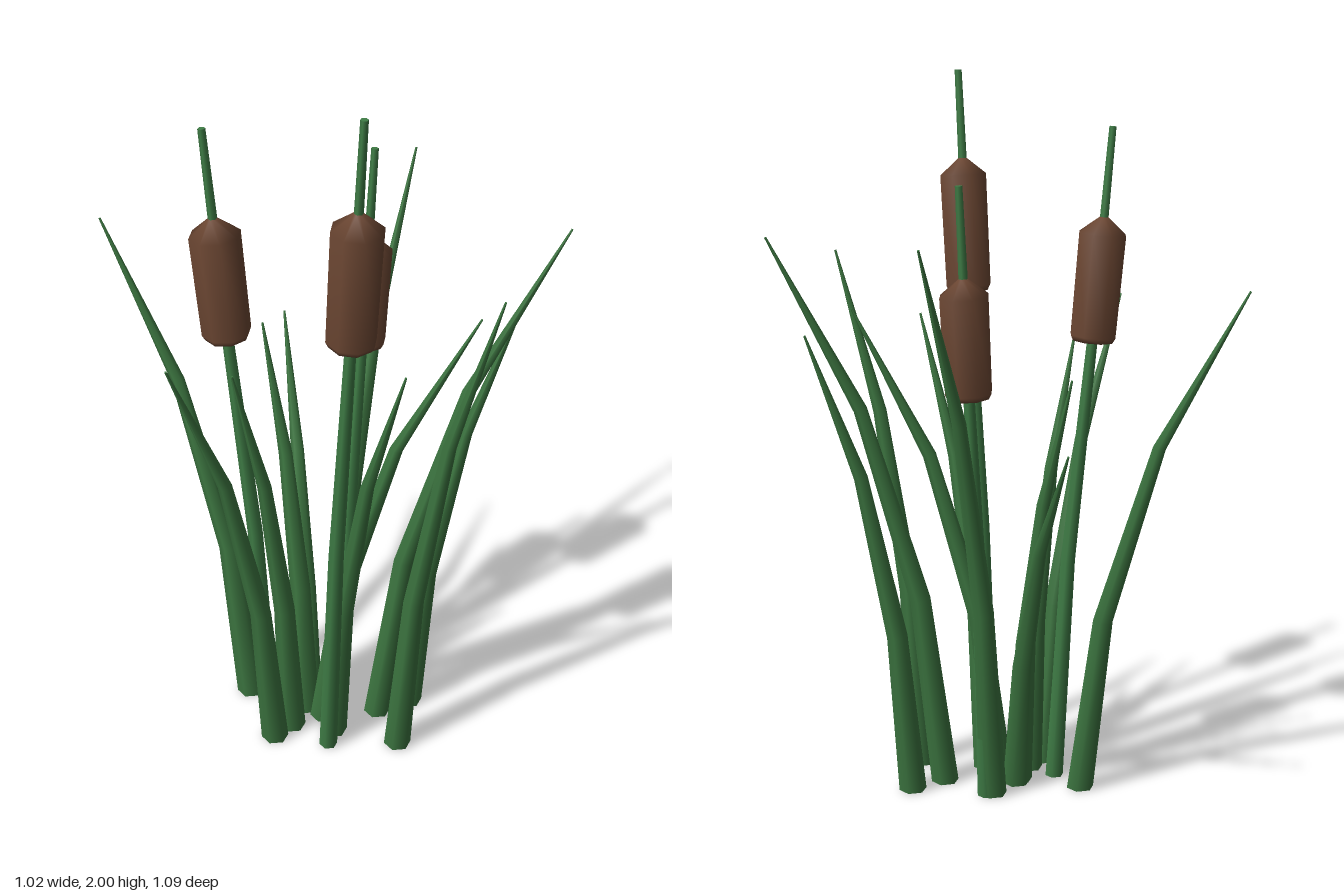
import * as THREE from 'three';

const leafGreen = new THREE.MeshStandardMaterial({ color: 0x3c7540 });
const stemGreen = new THREE.MeshStandardMaterial({ color: 0x3f7d46 });
const seedBrown = new THREE.MeshStandardMaterial({ color: 0x6b4632 });
leafGreen.name = 'leaf green';
stemGreen.name = 'stem green';
seedBrown.name = 'seed head brown';

const UP = new THREE.Vector3(0, 1, 0);

// Closed tapering tube: one ring per path point, each square to the path
function taperedTube(points, radii, sides) {
  const rows = points.length - 1;
  const geo = new THREE.CylinderGeometry(1, 1, 1, sides, rows);
  const turns = points.map((p, i) => {
    const q = new THREE.Quaternion();
    if (i === 0) return q; // the foot is cut level with the ground
    const dir = points[Math.min(i + 1, rows)].clone().sub(points[i - 1]).normalize();
    return q.setFromUnitVectors(UP, dir);
  });
  const pos = geo.attributes.position;
  const v = new THREE.Vector3();
  for (let k = 0; k < pos.count; k++) {
    const i = Math.round((pos.getY(k) + 0.5) * rows);
    v.set(pos.getX(k), 0, pos.getZ(k)).multiplyScalar(radii[i]);
    v.applyQuaternion(turns[i]).add(points[i]);
    pos.setXYZ(k, v.x, v.y, v.z);
  }
  geo.computeVertexNormals();
  // Smooth the seam where the wall closes on itself
  const nor = geo.attributes.normal;
  const a = new THREE.Vector3(), b = new THREE.Vector3();
  for (let r = 0; r <= rows; r++) {
    const s = r * (sides + 1), e = s + sides;
    a.fromBufferAttribute(nor, s).add(b.fromBufferAttribute(nor, e)).normalize();
    nor.setXYZ(s, a.x, a.y, a.z);
    nor.setXYZ(e, a.x, a.y, a.z);
  }
  return geo;
}

// Path from foot to tip; each bend is [share of height, share of lean]
function leaningPath([bx, bz], [tx, ty, tz], bends) {
  return bends.map(([h, l]) =>
    new THREE.Vector3(bx + (tx - bx) * l, ty * h, bz + (tz - bz) * l));
}

// Leaf blades: foot [x, z], tip [x, y, z]
const BLADES = [
  [[-0.13, -0.11], [-0.30, 1.46, -0.54]],
  [[-0.02, 0.04], [0.20, 1.08, -0.38]],
  [[-0.04, 0.05], [-0.025, 1.21, -0.17]],
  [[0.08, 0.03], [0.485, 1.60, -0.15]],
  [[0.225, 0.21], [0.48, 1.33, 0.32]],
  [[0.12, 0.19], [0.505, 1.58, 0.445]],
  [[-0.02, 0.11], [0.27, 1.37, 0.385]],
  [[0.08, 0.335], [0.20, 1.51, 0.54]],
  [[-0.035, 0.18], [-0.015, 1.32, 0.43]],
  [[-0.19, 0.10], [-0.51, 1.36, 0.11]],
  [[-0.12, 0.09], [-0.31, 1.27, 0.10]],
];
const BLADE_BENDS = [[0, 0], [0.35, 0.14], [0.7, 0.48], [1, 1]];
const BLADE_RADII = [0.039, 0.029, 0.019, 0.003];

// Flowering stalks: foot, tip, then bottom and top height of the seed head
const STALKS = [
  [[-0.135, 0.0], [-0.25, 1.86, -0.095], 1.28, 1.62],
  [[0.1, 0.035], [0.21, 1.725, 0.01], 1.165, 1.485],
  [[-0.085, 0.22], [-0.105, 2.0, 0.36], 1.39, 1.76],
];
const STALK_BENDS = [[0, 0], [0.35, 0.24], [0.7, 0.68], [1, 1]];
const STALK_RADII = [0.026, 0.021, 0.015, 0.010];

// Eight-sided seed head with a chamfered foot and a shallow conical cap
function seedHeadGeometry(height) {
  const profile = [
    [0, 0], [0.058, 0], [0.066, 0.015], [0.068, height - 0.045], [0.012, height], [0, height],
  ].map(([r, y]) => new THREE.Vector2(r, y));
  return new THREE.LatheGeometry(profile, 8, Math.PI / 8);
}

export function createModel() {
  const model = new THREE.Group();
  model.name = 'reeds';

  const add = (parent, geo, mat, name) => {
    const mesh = new THREE.Mesh(geo, mat);
    mesh.name = name;
    parent.add(mesh);
    return mesh;
  };

  // Leaves
  const leaves = new THREE.Group();
  leaves.name = 'leaves';
  model.add(leaves);
  BLADES.forEach(([foot, tip], i) => {
    const path = leaningPath(foot, tip, BLADE_BENDS);
    add(leaves, taperedTube(path, BLADE_RADII, 6), leafGreen, `leafBlade${i + 1}`);
  });

  // Stalks, each with a seed head threaded on its upper part
  STALKS.forEach(([foot, tip, low, high], i) => {
    const stalk = new THREE.Group();
    stalk.name = `stalk${i + 1}`;
    model.add(stalk);
    const path = leaningPath(foot, tip, STALK_BENDS);
    add(stalk, taperedTube(path, STALK_RADII, 6), stemGreen, 'stem');

    const [, , knee, end] = path;
    const at = (y) => knee.clone().lerp(end, (y - knee.y) / (end.y - knee.y));
    const bottom = at(low), top = at(high);
    const head = add(stalk, seedHeadGeometry(high - low), seedBrown, 'seedHead');
    head.position.copy(bottom);
    head.quaternion.setFromUnitVectors(UP, top.sub(bottom).normalize());
  });

  return model;
}
